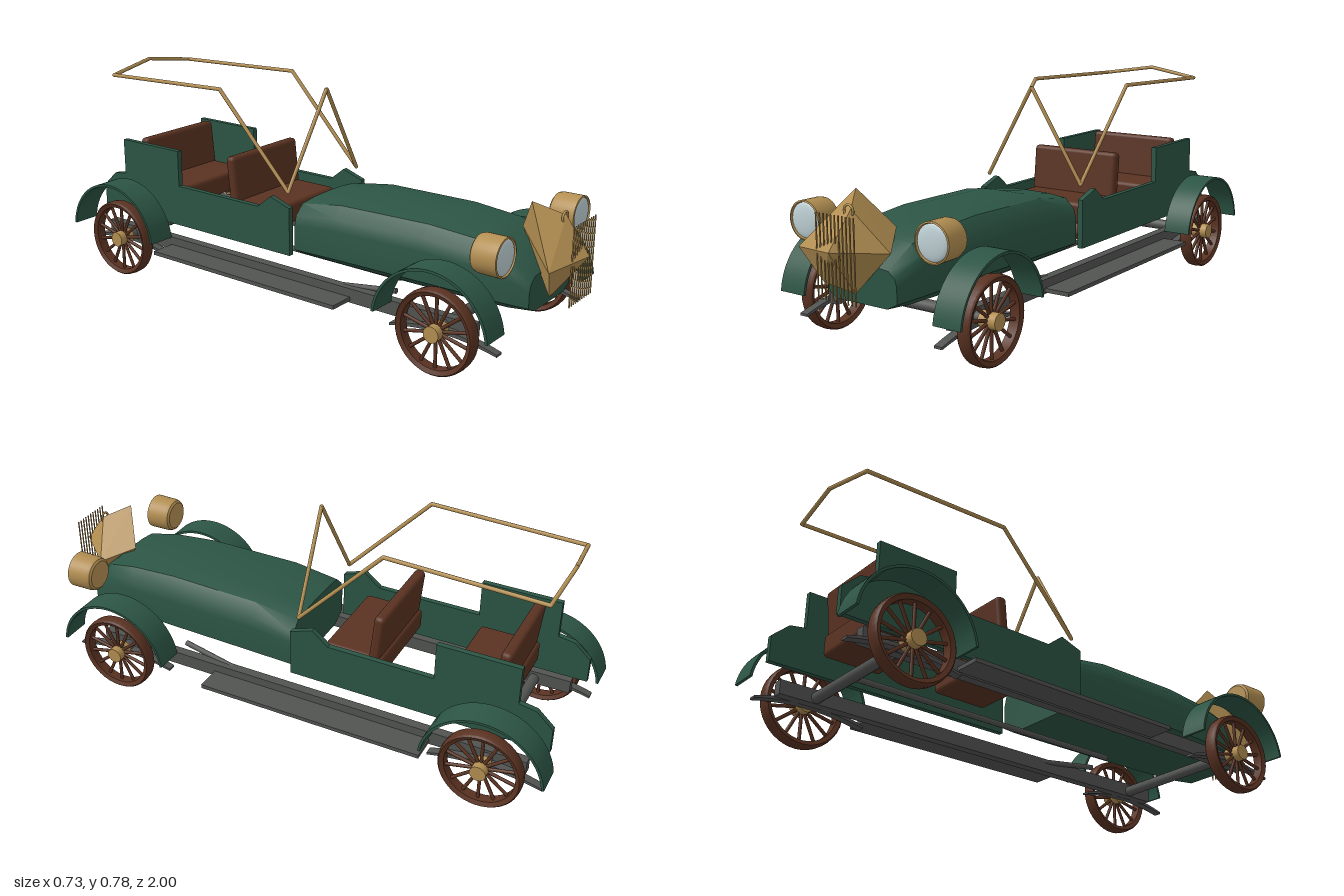
import * as THREE from 'three';
import { toCreasedNormals } from 'three/addons/utils/BufferGeometryUtils.js';
import { ConvexGeometry } from 'three/addons/geometries/ConvexGeometry.js';
import { RoundedBoxGeometry } from 'three/addons/geometries/RoundedBoxGeometry.js';

const mat = (name, color, side = THREE.FrontSide) => {
  const m = new THREE.MeshStandardMaterial({ color, side });
  m.name = name;
  return m;
};
const V = (x, y, z) => new THREE.Vector3(x, y, z);

export function createModel() {
  const model = new THREE.Group();
  model.name = 'openTourer';
  const green = mat('bodyGreen', 0x2c5545);
  const brown = mat('leatherBrown', 0x5a3221);
  const brass = mat('brass', 0xb38f52);
  const grey = mat('chassisGrey', 0x525452);
  const glass = mat('lampGlass', 0xc0d2d6);

  const add = (name, geo, material, x = 0, y = 0, z = 0, parent = model) => {
    const m = new THREE.Mesh(geo, material);
    m.name = name;
    m.position.set(x, y, z);
    parent.add(m);
    return m;
  };
  const box = (name, w, h, d, material, x, y, z) =>
    add(name, new THREE.BoxGeometry(w, h, d), material, x, y, z);
  // Round bar between two points
  const bar = (name, a, b, r, material, parent = model) => {
    const m = add(name, new THREE.CylinderGeometry(r, r, a.distanceTo(b), 10), material, 0, 0, 0, parent);
    m.position.copy(a).lerp(b, 0.5);
    m.quaternion.setFromUnitVectors(V(0, 1, 0), b.clone().sub(a).normalize());
    return m;
  };

  // Bonnet: cross-sections [z, half width, bottom, top] lofted front to back
  const half = [[0.72, 0], [1, 0.16], [1, 0.6], [0.95, 0.78], [0.77, 0.95], [0.42, 0.99]];
  const ring = [...half, [0, 1], ...half.slice().reverse().map(([x, y]) => [-x, y])];
  const sections = [[-0.02, 0.2, 0.2, 0.403], [0.15, 0.2, 0.2, 0.43], [0.5, 0.192, 0.2, 0.436],
    [0.68, 0.183, 0.2, 0.422], [0.79, 0.172, 0.2, 0.398], [0.87, 0.14, 0.2, 0.325]];
  const pos = [], idx = [], n = ring.length;
  for (const [z, w, y0, y1] of sections)
    for (const [x, y] of ring) pos.push(x * w, y0 + y * (y1 - y0), z);
  for (let i = 0; i < sections.length - 1; i++)
    for (let j = 0; j < n; j++) {
      const a = i * n + j, b = i * n + (j + 1) % n;
      idx.push(a, b, b + n, a, b + n, a + n);
    }
  const last = (sections.length - 1) * n;
  for (let j = 1; j < n - 1; j++) {
    idx.push(last, last + j, last + j + 1);
    idx.push(0, j + 1, j);
  }
  const hood = new THREE.BufferGeometry();
  hood.setAttribute('position', new THREE.Float32BufferAttribute(pos, 3));
  hood.setIndex(idx);
  add('bonnet', toCreasedNormals(hood, 0.65), green);

  // Tub side panels, drawn as (-z, y) and extruded across x
  const outline = [[0.025, 0.215], [0.025, 0.39], [0.11, 0.418], [0.17, 0.37], [0.56, 0.37],
    [0.56, 0.505], [0.85, 0.505], [0.85, 0.37], [0.91, 0.36], [0.97, 0.305], [0.97, 0.215]];
  const panel = new THREE.ExtrudeGeometry(
    new THREE.Shape(outline.map(([z, y]) => new THREE.Vector2(z, y))),
    { depth: 0.02, bevelEnabled: false });
  panel.rotateY(Math.PI / 2).translate(-0.01, 0, 0);

  // Mudguard: thin curved band
  const guardShape = new THREE.Shape();
  guardShape.absarc(0, 0, 0.216, 0.12, Math.PI - 0.12, false);
  guardShape.absarc(0, 0, 0.207, Math.PI - 0.12, 0.12, true);
  const guard = toCreasedNormals(new THREE.ExtrudeGeometry(guardShape,
    { depth: 0.103, bevelEnabled: false, curveSegments: 24 }), 0.5);
  guard.rotateY(Math.PI / 2).translate(-0.0515, 0, 0);

  // Wheel parts
  const tyreProfile = [[0.123, -0.018], [0.138, -0.025], [0.143, -0.019], [0.145, 0],
    [0.143, 0.019], [0.138, 0.025], [0.123, 0.018], [0.123, -0.018]]
    .map(([r, y]) => new THREE.Vector2(r, y));
  const tyre = toCreasedNormals(new THREE.LatheGeometry(tyreProfile, 40), 0.6);
  tyre.rotateZ(Math.PI / 2);
  const hub = new THREE.CylinderGeometry(0.028, 0.028, 0.065, 20).rotateZ(Math.PI / 2);
  const wheel = (name, x, z) => {
    const g = new THREE.Group();
    g.name = name;
    g.position.set(x, 0.148, z);
    model.add(g);
    add('tyre', tyre, brown, 0, 0, 0, g);
    add('hub', hub, brass, 0, 0, 0, g);
    for (let i = 0; i < 14; i++) {
      const a = (i / 14) * Math.PI * 2, c = Math.cos(a), s = Math.sin(a);
      bar('spoke', V(0, c * 0.02, s * 0.02), V(0, c * 0.128, s * 0.128), 0.006, brown, g);
    }
  };

  // Leaf spring: shallow arc of flat steel
  const leafPath = new THREE.Shape();
  leafPath.moveTo(-0.2, 0.105);
  leafPath.quadraticCurveTo(0, 0.155, 0.2, 0.105);
  leafPath.lineTo(0.2, 0.113);
  leafPath.quadraticCurveTo(0, 0.175, -0.2, 0.113);
  const leaf = new THREE.ExtrudeGeometry(leafPath, { depth: 0.03, bevelEnabled: false });
  leaf.rotateY(Math.PI / 2).translate(-0.015, 0, 0);

  const lampProfile = [[0, -0.05], [0.052, -0.05], [0.06, -0.044], [0.064, -0.03],
    [0.065, 0.046], [0.06, 0.048], [0.057, 0.04]].map(([r, y]) => new THREE.Vector2(r, y));
  const lamp = toCreasedNormals(new THREE.LatheGeometry(lampProfile, 32), 0.6).rotateX(Math.PI / 2);
  const lens = new THREE.SphereGeometry(0.058, 28, 14).scale(1, 1, 0.2);

  for (const s of [-1, 1]) {
    add('sidePanel', panel, green, s * 0.213, 0, 0);
    for (const [end, z, gz] of [['front', 0.648, 0.642], ['rear', -0.777, -0.785]]) {
      wheel(end + 'Wheel', s * 0.321, z);
      add(end + 'Mudguard', guard, green, s * 0.314, 0.15, gz);
      add(end + 'Spring', leaf, grey, s * 0.275, 0, z);
    }
    add('headlamp', lamp, brass, s * 0.256, 0.42, 0.8);
    add('headlampLens', lens, glass, s * 0.256, 0.42, 0.84);
    box('chassisRail', 0.034, 0.05, 1.66, grey, s * 0.244, 0.152, -0.08);
    box('runningBoard', 0.115, 0.014, 0.84, grey, s * 0.297, 0.14, -0.152);
    bar('stayRod', V(s * 0.25, 0.155, 0.08), V(s * 0.207, 0.19, 0.42), 0.01, grey);
    // Hood frame and windscreen stays
    const path = [V(0, 0.775, -0.032), V(s * 0.2, 0.44, -0.047), V(s * 0.203, 0.765, -0.355),
      V(s * 0.203, 0.747, -0.905), V(0, 0.778, -0.922)];
    for (let i = 0; i < 4; i++) bar('hoodFrame', path[i], path[i + 1], 0.007, brass);
    for (const p of path.slice(1, 4))
      add('frameJoint', new THREE.SphereGeometry(0.007, 10, 8), brass, p.x, p.y, p.z);
  }

  // Axles and drive shaft
  bar('frontAxle', V(-0.3, 0.148, 0.64), V(0.3, 0.148, 0.64), 0.02, grey);
  bar('rearAxle', V(-0.3, 0.148, -0.777), V(0.3, 0.148, -0.777), 0.02, grey);
  bar('driveShaft', V(0, 0.14, -0.78), V(0, 0.14, 0.3), 0.01, grey);

  // Seats
  for (const [name, z] of [['frontSeat', -0.25], ['rearSeat', -0.693]]) {
    add(name + 'Cushion', new RoundedBoxGeometry(0.36, 0.08, 0.22, 2, 0.015), brown, 0, 0.31, z + 0.005);
    const back = add(name + 'Back', new RoundedBoxGeometry(0.364, 0.2, 0.04, 2, 0.015),
      brown, 0, 0.412, z - 0.08);
    back.rotation.x = -0.1;
  }

  // Tilted faceted radiator shell with cap and grille bars
  add('radiatorShell', new ConvexGeometry([V(-0.178, 0.37, 0.95), V(-0.058, 0.543, 0.82),
    V(0.004, 0.5, 0.91), V(0.112, 0.37, 0.86), V(-0.005, 0.235, 0.89), V(-0.105, 0.262, 0.92),
    V(-0.005, 0.385, 1), V(0.035, 0.42, 0.745)]), brass);
  add('radiatorCap', new THREE.TorusGeometry(0.018, 0.004, 8, 20), brass, -0.005, 0.495, 0.91);
  for (let i = 0; i < 11; i++)
    box('grilleBar', 0.003, 0.265, 0.004, brass, -0.075 + i * 0.015, 0.362, 0.975);

  return model;
}
